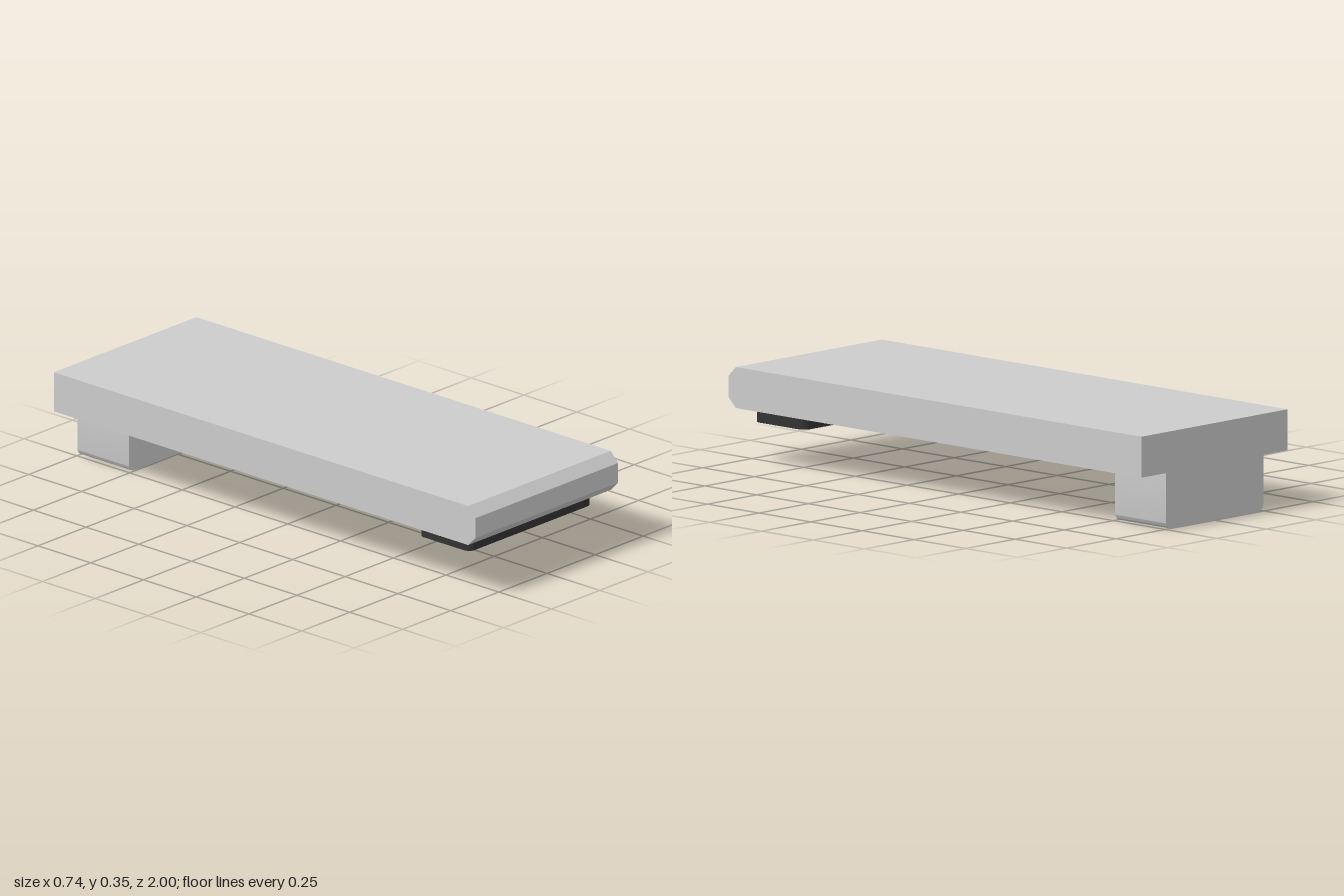
import * as THREE from 'three';
import { toCreasedNormals } from 'three/addons/utils/BufferGeometryUtils.js';

const grey = new THREE.MeshStandardMaterial({ color: 0xcccccc });
const dark = new THREE.MeshStandardMaterial({ color: 0x333333 });

// Extrudes a shape along +z, keeping sharp edges and smoothing rounded corners
function extrude(shape, depth) {
  const geometry = new THREE.ExtrudeGeometry(shape, { depth, bevelEnabled: false, curveSegments: 8 });
  return toCreasedNormals(geometry, 0.5);
}

function addPart(group, name, geometry, material) {
  const mesh = new THREE.Mesh(geometry, material);
  mesh.name = name;
  group.add(mesh);
}

export function createModel() {
  const group = new THREE.Group();
  group.name = 'slabWithFoot';

  // Long slab: side profile (z, y) with a chamfered front edge
  const halfWidth = 0.37, bottom = 0.2, top = 0.346, chamfer = 0.036;
  const profile = new THREE.Shape([
    [-1, bottom], [1 - chamfer, bottom], [1, bottom + chamfer],
    [1, top - chamfer], [1 - chamfer, top], [-1, top],
  ].map(([z, y]) => new THREE.Vector2(z, y)));
  const slab = extrude(profile, halfWidth * 2);
  slab.rotateY(-Math.PI / 2).translate(halfWidth, 0, 0);
  addPart(group, 'slab', slab, grey);

  // Rear block: lower corners rounded, flush with the slab's back
  const w = 0.247, r = 0.028;
  const blockShape = new THREE.Shape();
  blockShape.moveTo(-w, bottom);
  blockShape.lineTo(-w, r);
  blockShape.absarc(-w + r, r, r, Math.PI, Math.PI * 1.5, false);
  blockShape.absarc(w - r, r, r, -Math.PI / 2, 0, false);
  blockShape.lineTo(w, bottom);
  blockShape.closePath();
  addPart(group, 'rearBlock', extrude(blockShape, 0.245).translate(0, 0, -1), grey);

  // Front pad: thin dark plate with rounded corners in plan
  const px = 0.32, pz = 0.122, pr = 0.028;
  const padShape = new THREE.Shape();
  [[1, -1], [1, 1], [-1, 1], [-1, -1]].forEach(([sx, sz], i) => {
    const start = (i - 1) * Math.PI / 2;
    padShape.absarc(sx * (px - pr), sz * (pz - pr), pr, start, start + Math.PI / 2, false);
  });
  padShape.closePath();
  const pad = extrude(padShape, 0.05);
  pad.rotateX(Math.PI / 2).translate(0, bottom, 0.803);
  addPart(group, 'frontPad', pad, dark);

  return group;
}
